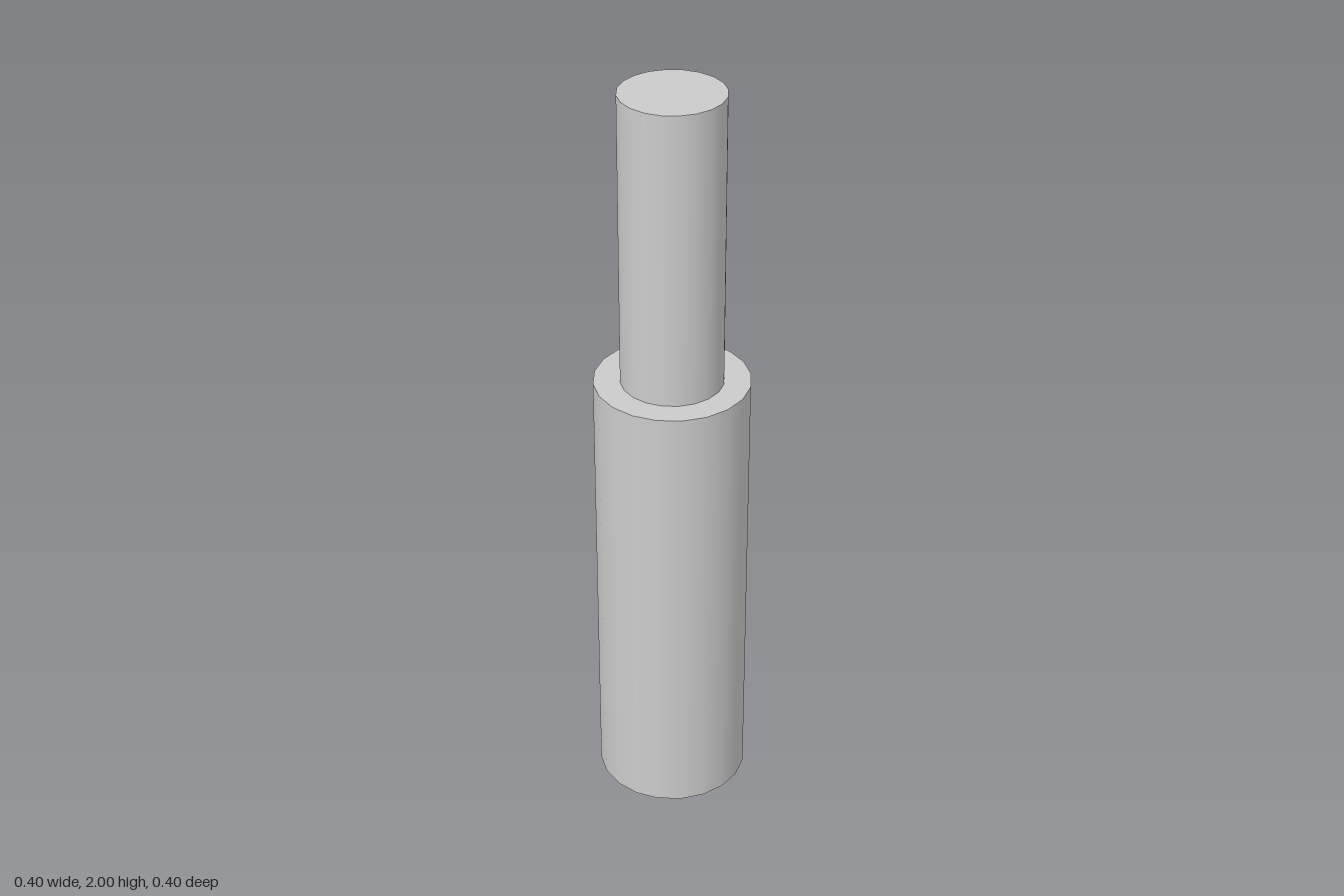
import * as THREE from 'three';

const SIDES = 20;
const TURN = 0.027; // slight twist of the facets about the vertical axis

export function createModel() {
  const model = new THREE.Group();
  model.name = 'steppedPin';
  const material = new THREE.MeshStandardMaterial({ color: 0xcccccc });

  const addCylinder = (name, radius, bottom, top) => {
    const geometry = new THREE.CylinderGeometry(radius, radius, top - bottom, SIDES);
    const mesh = new THREE.Mesh(geometry, material);
    mesh.name = name;
    mesh.position.y = (bottom + top) / 2;
    mesh.rotation.y = TURN;
    model.add(mesh);
  };

  // Thick lower body with a thinner shaft standing on its top face
  addCylinder('body', 0.2, 0, 1.223);
  addCylinder('shaft', 0.132, 1.223, 2);

  return model;
}
